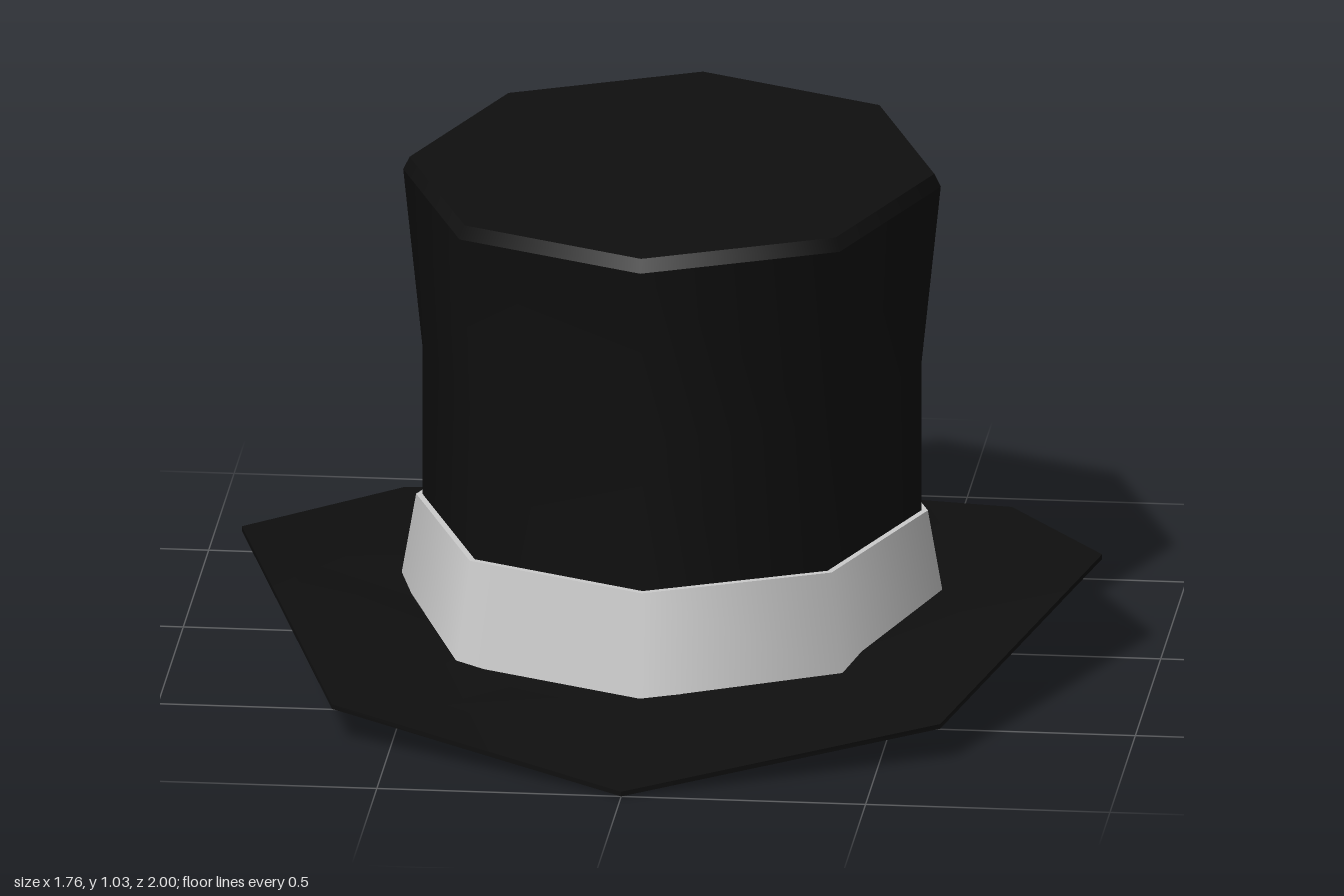
import * as THREE from 'three';
import { toCreasedNormals } from 'three/addons/utils/BufferGeometryUtils.js';

const SIDES = 8;
const OVAL = 0.88; // width relative to depth

const black = new THREE.MeshStandardMaterial({ color: 0x0f0f0f, side: THREE.DoubleSide });
const grey = new THREE.MeshStandardMaterial({ color: 0xcccccc, side: THREE.DoubleSide });

// Eight-sided oval surface from a [radius, height] profile
function ovalLathe(profile) {
  const points = profile.map(([r, y]) => new THREE.Vector2(r, y));
  return new THREE.LatheGeometry(points, SIDES).scale(OVAL, 1, 1);
}

// Brim: thin ring whose sides curl up while front and back dip
function brimGeometry() {
  const inner = 0.58;
  const geo = ovalLathe([[inner, 0], [1, 0], [1, 0.01], [inner, 0.015], [inner, 0]]);
  const p = geo.attributes.position;
  for (let i = 0; i < p.count; i++) {
    const x = p.getX(i) / OVAL, z = p.getZ(i);
    const r = Math.hypot(x, z);
    const s = (x / r) ** 2;
    const t = (r - inner) / (1 - inner);
    const outerY = 0.003 + 0.07 * s + 0.14 * s * s;
    const innerY = 0.08 + 0.03 * s * s;
    p.setY(i, p.getY(i) + THREE.MathUtils.lerp(innerY, outerY, t));
  }
  return toCreasedNormals(geo, 0.8);
}

export function createModel() {
  const hat = new THREE.Group();
  hat.name = 'topHat';
  const add = (name, geometry, material) => {
    const mesh = new THREE.Mesh(geometry, material);
    mesh.name = name;
    hat.add(mesh);
  };

  add('brim', brimGeometry(), black);

  // Hollow crown, straight below and flared above
  add('crown', ovalLathe([[0.58, 0.085], [0.58, 0.62], [0.625, 1.0]]), black);
  add('crownBevel', ovalLathe([[0.625, 1.0], [0.61, 1.027]]), black);
  add('crownTop', ovalLathe([[0.61, 1.027], [0, 1.035]]), black);

  // Ribbon tapering up to a thin ledge against the crown
  add('band', ovalLathe([[0.637, 0.093], [0.595, 0.305]]), grey);
  add('bandLedge', ovalLathe([[0.595, 0.305], [0.58, 0.305]]), grey);

  return hat;
}
